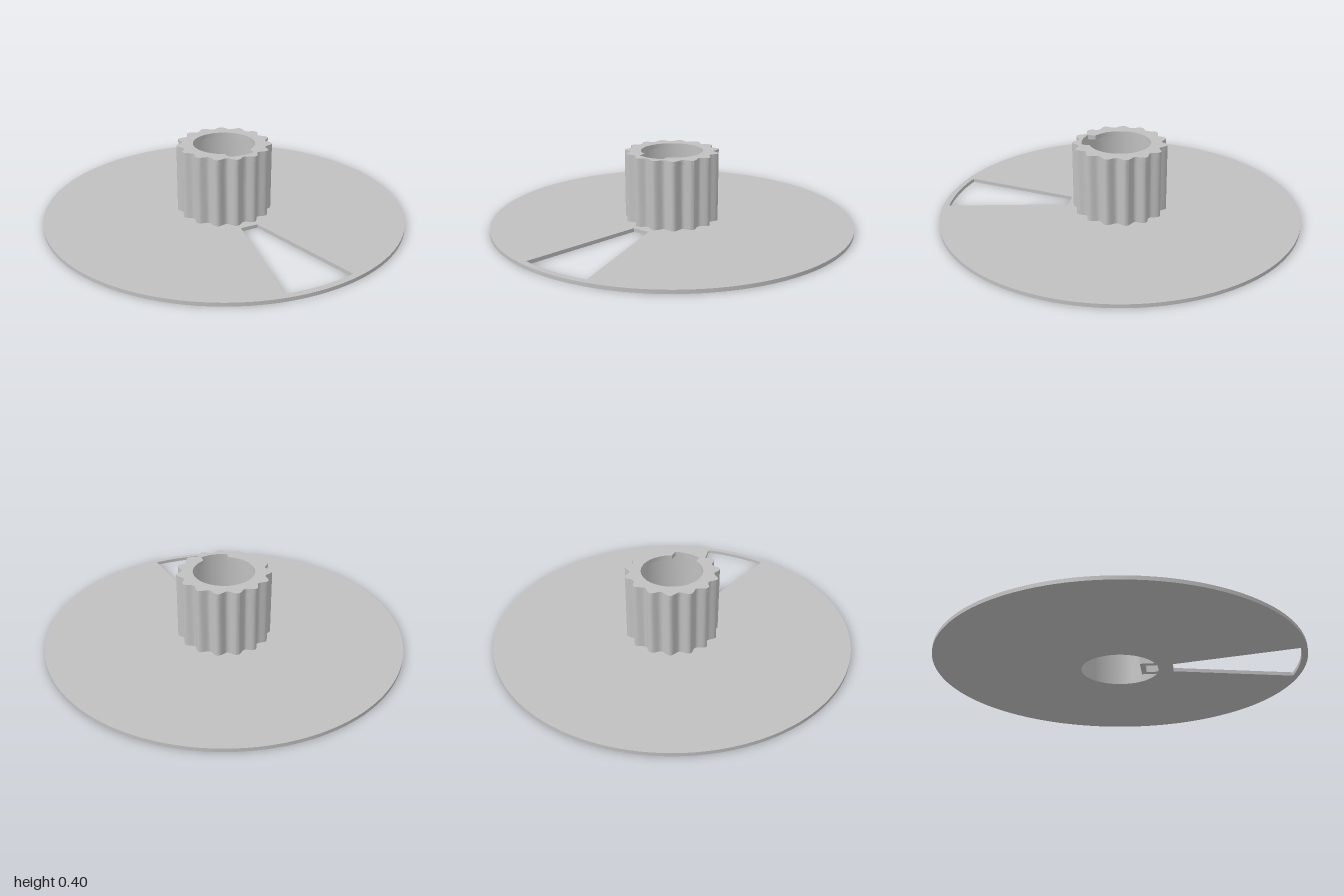
import * as THREE from 'three';
import { toCreasedNormals } from 'three/addons/utils/BufferGeometryUtils.js';

const BORE = 0.21, LIP = 0.17, KEY = 0.075;
const TEETH = 15, STEPS = 12;
const DOWN = -Math.PI / 2; // shape direction that becomes +z

export function createModel() {
  const group = new THREE.Group();
  const grey = new THREE.MeshStandardMaterial({ color: 0xc0c0c0 });
  grey.name = 'grey plastic';

  // Extrude a plan shape (x, -z) upward from y0 to y1
  const addPart = (name, shape, y0, y1) => {
    const solid = new THREE.ExtrudeGeometry(shape, { depth: y1 - y0, bevelEnabled: false, curveSegments: 96 });
    solid.rotateX(-Math.PI / 2).translate(0, y0, 0);
    const mesh = new THREE.Mesh(toCreasedNormals(solid, 0.5), grey);
    mesh.name = name;
    group.add(mesh);
  };
  const circle = (r) => new THREE.Path().absarc(0, 0, r, 0, Math.PI * 2, false);

  // Thin disc with the bore and a wedge-shaped window
  const disc = new THREE.Shape().absarc(0, 0, 1, 0, Math.PI * 2, false);
  const half = Math.asin(0.19 / 0.967);
  const wedge = new THREE.Path();
  wedge.moveTo(0.05, -0.29);
  wedge.lineTo(-0.05, -0.29);
  wedge.absarc(0, 0, 0.967, DOWN - half, DOWN + half, false);
  wedge.closePath();
  disc.holes.push(circle(BORE), wedge);
  addPart('disc', disc, 0, 0.02);

  // Fluted outline shared by the hub wall and its top lip
  const fluted = () => {
    const points = [];
    for (let i = 0; i < TEETH * STEPS; i++) {
      const a = (i / (TEETH * STEPS)) * Math.PI * 2;
      const r = 0.246 + 0.016 * Math.cos(a * TEETH);
      points.push(new THREE.Vector2(-r * Math.sin(a), r * Math.cos(a)));
    }
    return new THREE.Shape(points);
  };
  const hub = fluted();
  hub.holes.push(circle(BORE));
  addPart('hubWall', hub, 0.02, 0.375);

  // Narrower lip around the top of the bore, with a notch above the key
  const lip = fluted();
  const a = Math.asin(KEY / LIP), b = Math.asin(KEY / BORE);
  const opening = new THREE.Path();
  opening.absarc(0, 0, LIP, DOWN + a, DOWN + Math.PI * 2 - a, false);
  opening.absarc(0, 0, BORE, DOWN - b, DOWN + b, false);
  opening.closePath();
  lip.holes.push(opening);
  addPart('hubLip', lip, 0.375, 0.4);

  // Small three-sided bracket against the bore wall
  const wallZ = (x) => -Math.sqrt(BORE * BORE - x * x);
  const inner = 0.046;
  const bracket = new THREE.Shape([
    [-KEY, wallZ(KEY)], [-inner, wallZ(inner)], [-inner, -0.142], [inner, -0.142],
    [inner, wallZ(inner)], [KEY, wallZ(KEY)], [KEY, -0.115], [-KEY, -0.115],
  ].map(([x, y]) => new THREE.Vector2(x, y)));
  addPart('keyBracket', bracket, 0, 0.055);

  return group;
}
